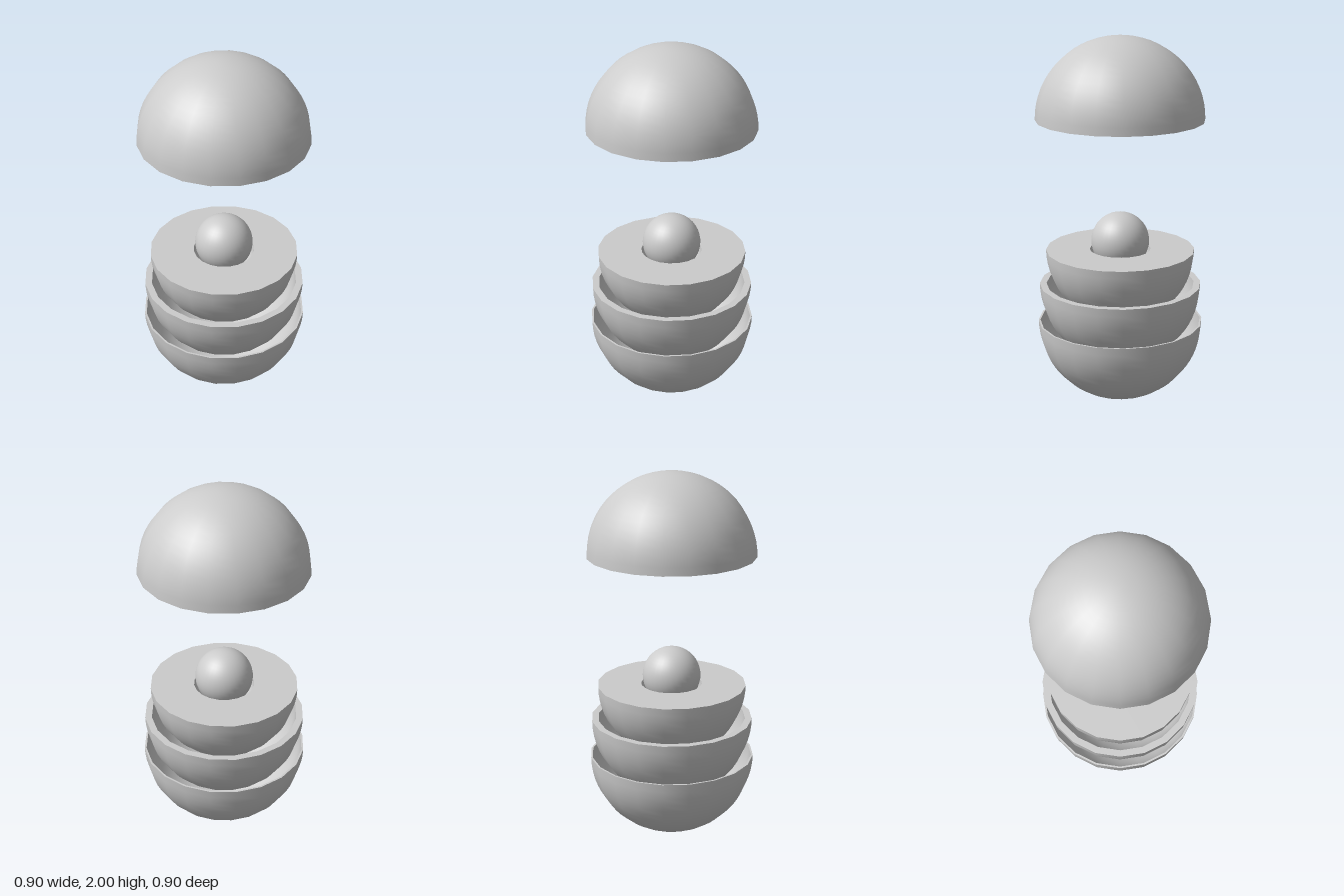
import * as THREE from 'three';
import { toCreasedNormals } from 'three/addons/utils/BufferGeometryUtils.js';

const material = new THREE.MeshStandardMaterial({ color: 0xcccccc });
const SIDES = 20;
const RINGS = 16;

// Quarter-circle profile below y = 0, from the pole to the rim
function quarter(radius, height) {
  const points = [];
  for (let i = 0; i <= RINGS; i++) {
    const a = (i / RINGS) * Math.PI / 2;
    points.push(new THREE.Vector2(i === 0 ? 0 : radius * Math.sin(a), -height * Math.cos(a)));
  }
  return points;
}

// Hollow half sphere, open at the top, with its flat rim at y = rimY
function halfShell(name, outer, height, inner, rimY) {
  const profile = [...quarter(outer, height), ...quarter(inner, inner * height / outer).reverse()];
  const geometry = toCreasedNormals(new THREE.LatheGeometry(profile, SIDES), 0.7);
  const mesh = new THREE.Mesh(geometry, material);
  mesh.name = name;
  mesh.position.y = rimY;
  return mesh;
}

export function createModel() {
  const group = new THREE.Group();
  group.name = 'layeredSphere';

  // Nested bowls, lifted out of one another
  group.add(halfShell('outerShell', 0.45, 0.443, 0.44, 0.443));
  group.add(halfShell('middleShell', 0.44, 0.44, 0.403, 0.655));
  group.add(halfShell('innerShell', 0.403, 0.403, 0.165, 0.847));

  // Ball at the centre
  const core = new THREE.Mesh(new THREE.SphereGeometry(0.157, 32, 24), material);
  core.name = 'core';
  core.position.y = 0.894;
  group.add(core);

  // Thick upper half with a hollow for the core, turned upside down
  const cap = halfShell('upperHalf', 0.45, 0.44, 0.165, 1.56);
  cap.rotation.x = Math.PI;
  group.add(cap);

  return group;
}
